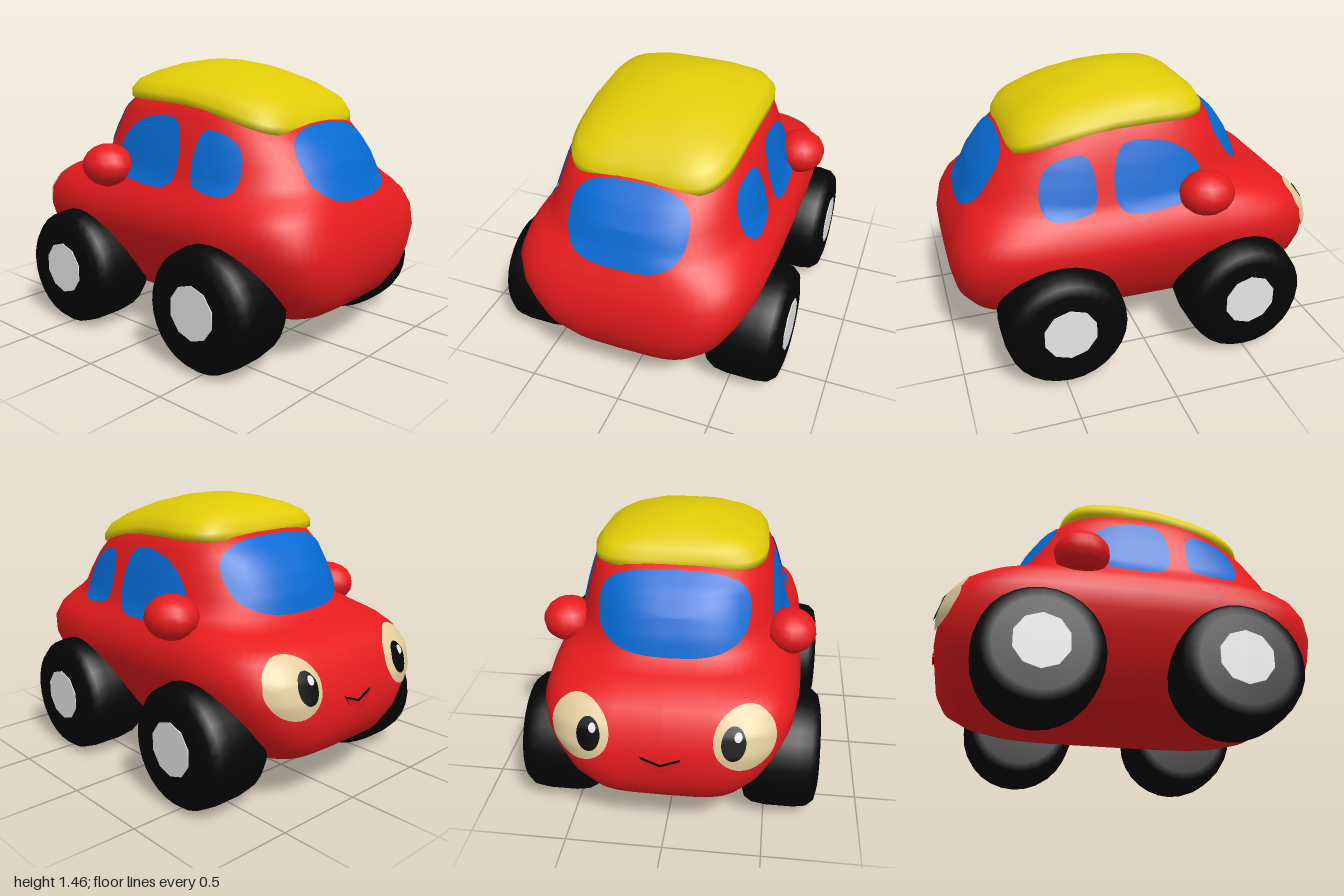
import * as THREE from 'three';

const paint = (name, color, side = THREE.FrontSide) => {
  const m = new THREE.MeshStandardMaterial({ color, side });
  m.name = name;
  return m;
};

// Horizontal slices: [y, front x, rear x, half width, squareness]
const BODY = [
  [0.195, 0, 0, 0, 4], [0.2, -0.74, 0.72, 0.36, 4], [0.23, -0.84, 0.82, 0.4, 4.2],
  [0.3, -0.94, 0.92, 0.47, 4.5], [0.4, -0.985, 0.975, 0.54, 5], [0.5, -1, 0.995, 0.595, 5],
  [0.6, -0.99, 1, 0.64, 5], [0.7, -0.955, 0.975, 0.657, 5], [0.78, -0.905, 0.935, 0.632, 4.8],
  [0.83, -0.85, 0.905, 0.6, 4.2], [0.87, -0.75, 0.885, 0.573, 3.4], [0.91, -0.635, 0.865, 0.555, 2.9],
  [1.0, -0.61, 0.825, 0.533, 2.8], [1.1, -0.565, 0.75, 0.507, 2.8], [1.2, -0.495, 0.635, 0.475, 2.9],
  [1.28, -0.4, 0.5, 0.435, 3], [1.34, -0.28, 0.35, 0.33, 3], [1.35, 0, 0, 0, 3],
];
const ROOF = [
  [1.25, 0.1, 0.1, 0, 5], [1.25, -0.35, 0.63, 0.41, 5], [1.27, -0.375, 0.66, 0.455, 5],
  [1.31, -0.375, 0.66, 0.455, 5], [1.36, -0.345, 0.63, 0.415, 5], [1.4, -0.285, 0.56, 0.33, 4.5],
  [1.435, -0.2, 0.42, 0.21, 3.5], [1.455, -0.09, 0.22, 0.09, 2.5], [1.459, 0.02, 0.02, 0, 2],
];

function gridGeometry(positions, index) {
  const g = new THREE.BufferGeometry();
  g.setAttribute('position', new THREE.Float32BufferAttribute(positions, 3));
  g.setIndex(index);
  g.computeVertexNormals();
  return g;
}

// Index for rings of n points joined one to the next
function ringIndex(rings, n) {
  const index = [];
  for (let i = 0; i < rings - 1; i++) for (let j = 0; j < n; j++) {
    const k = (j + 1) % n, a = i * n + j, b = i * n + k, c = a + n, d = b + n;
    index.push(a, c, b, b, c, d);
  }
  return index;
}

const power = (v, p) => Math.sign(v) * Math.abs(v) ** p;

function loft(levels, warp = (p) => p) {
  const n = 64, pos = [];
  for (const [y, x0, x1, hz, sq] of levels) for (let j = 0; j < n; j++) {
    const t = (j / n) * Math.PI * 2;
    pos.push(...warp([
      (x0 + x1) / 2 + ((x1 - x0) / 2) * power(Math.cos(t), 2 / sq), y, hz * power(Math.sin(t), 2 / sq),
    ]));
  }
  return gridGeometry(pos, ringIndex(levels.length, n));
}

// Body slice at any height
function sliceAt(y) {
  let i = 1;
  while (i < BODY.length - 2 && BODY[i + 1][0] < y) i++;
  const t = (y - BODY[i][0]) / (BODY[i + 1][0] - BODY[i][0]);
  return BODY[i].map((v, k) => v + (BODY[i + 1][k] - v) * t);
}
const rest = (u, sq) => Math.max(0, 1 - Math.abs(u) ** sq) ** (1 / sq);
// Points on the body skin, seen along z (sides) or along x (nose and tail)
const onSide = (s) => (x, y, lift) => {
  const [, x0, x1, hz, sq] = sliceAt(y);
  return [x, y, s * (hz * rest((x - (x0 + x1) / 2) / ((x1 - x0) / 2), sq) + lift)];
};
const onEnd = (s) => (z, y, lift) => {
  const [, x0, x1, hz, sq] = sliceAt(y);
  return [(x0 + x1) / 2 + s * (((x1 - x0) / 2) * rest(z / hz, sq) + lift), y, z];
};

// Thin plate that follows the body skin inside a closed outline
function plate(outline, project, lift = 0.008, dome = 0) {
  const n = outline.length, rings = 9, pos = [];
  const cx = outline.reduce((s, p) => s + p[0], 0) / n;
  const cy = outline.reduce((s, p) => s + p[1], 0) / n;
  for (let i = 0; i < rings; i++) {
    const r = i / (rings - 1);
    for (const [u, v] of outline) {
      pos.push(...project(cx + (u - cx) * r, cy + (v - cy) * r, lift + dome * (1 - r * r)));
    }
  }
  return gridGeometry(pos, ringIndex(rings, n));
}
const oval = (cx, cy, rx, ry, sq = 2) => Array.from({ length: 32 }, (_, i) => {
  const t = (i / 32) * Math.PI * 2;
  return [cx + rx * power(Math.cos(t), 2 / sq), cy + ry * power(Math.sin(t), 2 / sq)];
});
const smooth = (pts) => new THREE.CatmullRomCurve3(pts.map(([x, y]) => new THREE.Vector3(x, y, 0)), true)
  .getSpacedPoints(40).slice(0, 40).map((p) => [p.x, p.y]);

export function createModel() {
  const car = new THREE.Group();
  car.name = 'toyCar';
  const red = paint('body red', 0xea1c1e), yellow = paint('roof yellow', 0xe0cc06);
  const blue = paint('window blue', 0x066ad2, THREE.DoubleSide);
  const black = paint('tyre black', 0x050505, THREE.DoubleSide);
  const silver = paint('hub silver', 0xe6e6e6), cream = paint('eye cream', 0xe2cd9e, THREE.DoubleSide);
  const white = paint('highlight white', 0xf4f4f4, THREE.DoubleSide);
  const lipRed = paint('mouth red', 0xd8161a, THREE.DoubleSide);
  const add = (name, geometry, material, x = 0, y = 0, z = 0) => {
    const m = new THREE.Mesh(geometry, material);
    m.name = name;
    m.position.set(x, y, z);
    car.add(m);
    return m;
  };

  add('body', loft(BODY), red);
  // Roof cap droops and narrows to the rear
  add('roof', loft(ROOF, ([x, y, z]) => {
    const t = Math.max(0, (x - 0.02) / 0.64);
    return [x, y - 0.135 * t ** 1.6, z * (1 - 0.08 * t)];
  }), yellow);

  add('windscreen', plate(oval(0, 1.095, 0.385, 0.185, 2.8), onEnd(-1), 0.009), blue);
  add('rearWindow', plate(oval(0, 1.0, 0.31, 0.175, 2.8), onEnd(1), 0.009), blue);

  const frontWindow = smooth([[-0.3, 0.9], [-0.15, 0.865], [0.13, 0.865], [0.175, 0.93], [0.17, 1.1],
    [0.12, 1.19], [-0.05, 1.195], [-0.2, 1.13], [-0.29, 1.02]]);
  const backWindow = smooth([[0.29, 0.9], [0.36, 0.87], [0.52, 0.87], [0.555, 0.94], [0.53, 1.07],
    [0.46, 1.13], [0.32, 1.155], [0.285, 1.1]]);

  // Tyre cross-section turned around the axle
  const tyre = new THREE.LatheGeometry([[0, -0.195], [0.24, -0.195], [0.285, -0.18], [0.31, -0.14],
    [0.32, -0.07], [0.32, 0.08], [0.31, 0.145], [0.28, 0.18], [0.23, 0.192], [0, 0.192]]
    .map(([r, h]) => new THREE.Vector2(r, h)), 28).rotateX(Math.PI / 2);
  const hub = new THREE.CylinderGeometry(0.14, 0.14, 0.008, 10).rotateX(Math.PI / 2);
  const mirror = new THREE.SphereGeometry(1, 14, 10).scale(0.145, 0.115, 0.135);

  for (const s of [1, -1]) {
    const side = s > 0 ? 'left' : 'right';
    add(side + 'FrontWindow', plate(frontWindow, onSide(s)), blue);
    add(side + 'BackWindow', plate(backWindow, onSide(s)), blue);
    add(side + 'Mirror', mirror, red, -0.295, 0.915, s * 0.59);

    for (const [end, x] of [['Front', -0.495], ['Rear', 0.482]]) {
      const wheel = add(side + end + 'Tyre', tyre, black, x, 0.322, s * 0.577);
      if (s < 0) wheel.rotation.y = Math.PI;
      add(side + end + 'Hub', hub, silver, x, 0.333, s * 0.77);
    }

    // Eyes on the nose
    const nose = onEnd(-1);
    add(side + 'Eye', plate(oval(s * 0.395, 0.67, 0.148, 0.145), nose, 0.01, 0.012), cream);
    add(side + 'Pupil', plate(oval(s * 0.345, 0.67, 0.058, 0.078), nose, 0.026), black);
    add(side + 'Highlight', plate(oval(s * 0.345 + 0.02, 0.705, 0.018, 0.022), nose, 0.031), white);
  }

  // Smile
  const smile = (w, y, lift, depth) => smooth([[-w, y + lift], [-w / 2, y + 0.012], [0, y], [w / 2, y + 0.012],
    [w, y + lift], [w / 2, y + 0.012 - depth], [0, y - depth], [-w / 2, y + 0.012 - depth]]);
  add('mouth', plate(smile(0.1, 0.53, 0.045, 0.03), onEnd(-1), 0.006), black);
  add('lip', plate(smile(0.09, 0.522, 0.04, 0.03), onEnd(-1), 0.011), lipRed);
  return car;
}
